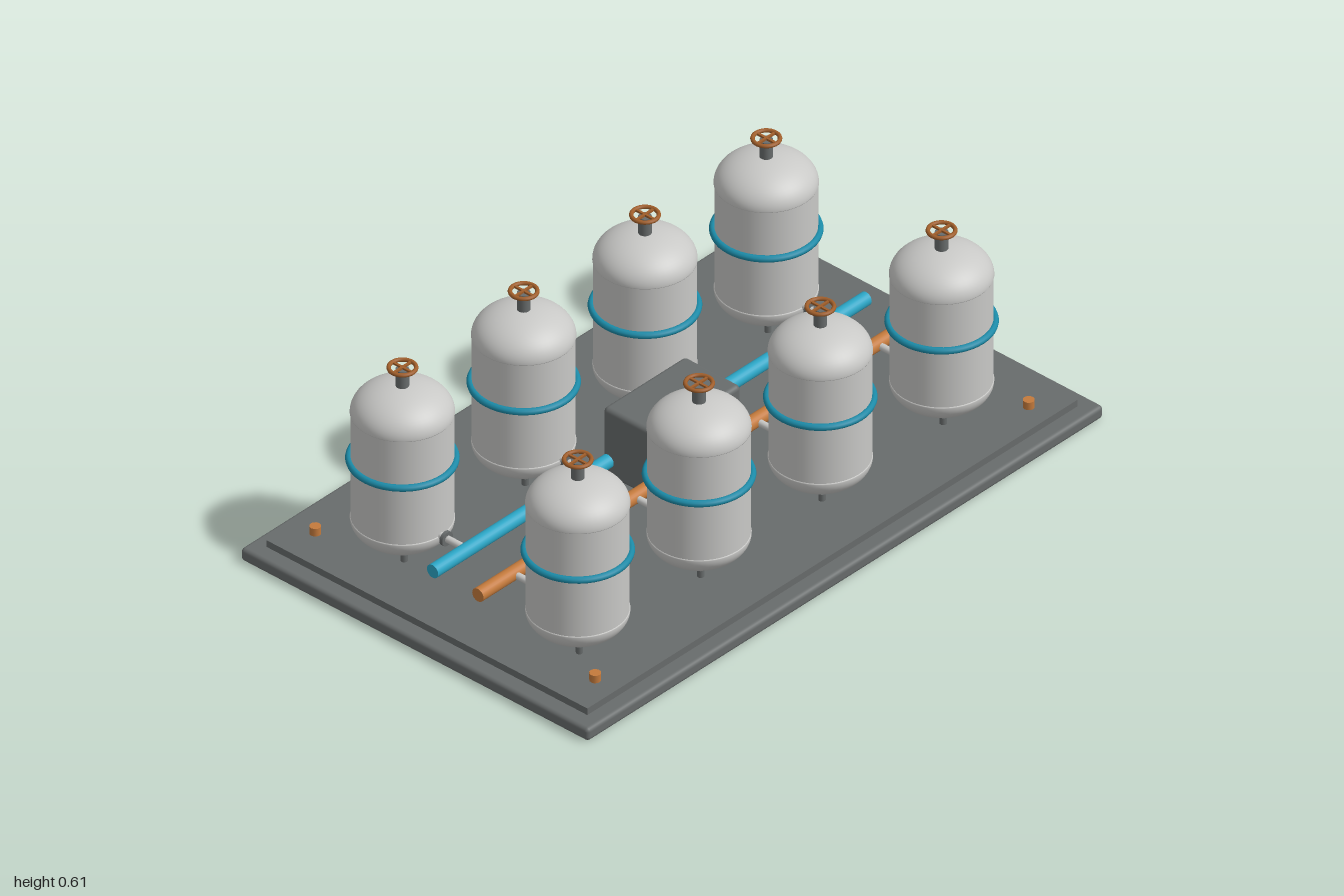
import * as THREE from 'three';
import { RoundedBoxGeometry } from 'three/addons/geometries/RoundedBoxGeometry.js';

const mat = (name, color) => {
  const m = new THREE.MeshStandardMaterial({ color });
  m.name = name;
  return m;
};

export function createModel() {
  const steel = mat('dark steel', 0x686c6c);
  const shell = mat('tank grey', 0xc8c8c6);
  const teal = mat('teal', 0x2ba6c6);
  const bandTeal = mat('deep teal', 0x1b8ba8);
  const copper = mat('copper', 0xc47a3c);
  const bronze = mat('bronze', 0xa05e2a);

  const model = new THREE.Group();
  model.name = 'tankSkid';

  const add = (parent, name, geometry, material, x = 0, y = 0, z = 0) => {
    const mesh = new THREE.Mesh(geometry, material);
    mesh.name = name;
    mesh.position.set(x, y, z);
    parent.add(mesh);
    return mesh;
  };
  const rod = (r, length, sides = 24) => new THREE.CylinderGeometry(r, r, length, sides);
  const ring = (r, tube) => new THREE.TorusGeometry(r, tube, 10, 48).rotateX(Math.PI / 2);

  // Base slab and raised deck
  add(model, 'baseSlab', new RoundedBoxGeometry(2, 0.04, 1.23, 3, 0.012), steel, 0, 0.02, 0);
  add(model, 'deck', new THREE.BoxGeometry(1.9, 0.022, 1.135), steel, 0, 0.05, 0);

  // Corner bolts
  for (const x of [-0.84, 0.84])
    for (const z of [-0.495, 0.495])
      add(model, 'cornerBolt', rod(0.016, 0.025, 12), copper, x, 0.072, z);

  // Shared tank geometries
  const body = new THREE.CylinderGeometry(0.136, 0.136, 0.335, 48, 1, true);
  const dome = new THREE.SphereGeometry(0.138, 48, 16, 0, Math.PI * 2, 0, Math.PI / 2).scale(1, 0.61, 1);
  const bowl = new THREE.SphereGeometry(0.138, 48, 16, 0, Math.PI * 2, Math.PI / 2, Math.PI / 2).scale(1, 0.58, 1);
  const seam = ring(0.134, 0.004);
  const band = ring(0.14, 0.01);
  const gauge = new THREE.CapsuleGeometry(0.007, 0.19, 6, 12);
  const stem = rod(0.018, 0.062);
  const wheelRim = ring(0.036, 0.006);
  const spoke = new THREE.BoxGeometry(0.07, 0.006, 0.007);
  const foot = rod(0.01, 0.025, 12);
  const branch = rod(0.01, 0.11, 16).rotateX(Math.PI / 2);
  const flange = rod(0.021, 0.01).rotateX(Math.PI / 2);

  const makeTank = (x, side) => {
    const tank = new THREE.Group();
    tank.name = 'tank';
    tank.position.set(x, 0, side * 0.31);
    model.add(tank);
    add(tank, 'tankBody', body, shell, 0, 0.3, 0);
    add(tank, 'tankDome', dome, shell, 0, 0.467, 0);
    add(tank, 'tankBottom', bowl, shell, 0, 0.133, 0);
    for (const y of [0.133, 0.467]) add(tank, 'seam', seam, shell, 0, y, 0);
    add(tank, 'band', band, bandTeal, 0, 0.32, 0);
    add(tank, 'levelGauge', gauge, bandTeal, 0.143, 0.303, 0.011);

    // Feet
    for (const fx of [-0.07, 0.07])
      for (const fz of [-0.07, 0.07]) add(tank, 'foot', foot, steel, fx, 0.07, fz);

    // Valve stem and handwheel
    add(tank, 'valveStem', stem, steel, 0, 0.572, 0);
    add(tank, 'wheelRim', wheelRim, bronze, 0, 0.607, 0);
    for (const turn of [0, Math.PI / 2])
      add(tank, 'wheelSpoke', spoke, bronze, 0, 0.607, 0).rotation.y = turn;

    // Branch line to the manifold
    add(tank, 'branchPipe', branch, shell, 0, 0.135, -side * 0.178);
    add(tank, 'flange', flange, steel, 0, 0.135, -side * 0.155);
  };
  for (const x of [-0.705, -0.235, 0.235, 0.705])
    for (const side of [-1, 1]) makeTank(x, side);

  // Manifold pipes
  const manifold = rod(0.02, 1.68).rotateZ(Math.PI / 2);
  add(model, 'supplyPipe', manifold, copper, 0, 0.135, 0.08);
  add(model, 'returnPipe', manifold, teal, 0, 0.135, -0.08);

  // Control box with a front button
  add(model, 'controlBox', new RoundedBoxGeometry(0.32, 0.215, 0.2, 4, 0.014), steel, 0, 0.19, 0);
  add(model, 'button', rod(0.013, 0.016).rotateX(Math.PI / 2), teal, 0, 0.245, 0.106);

  return model;
}
